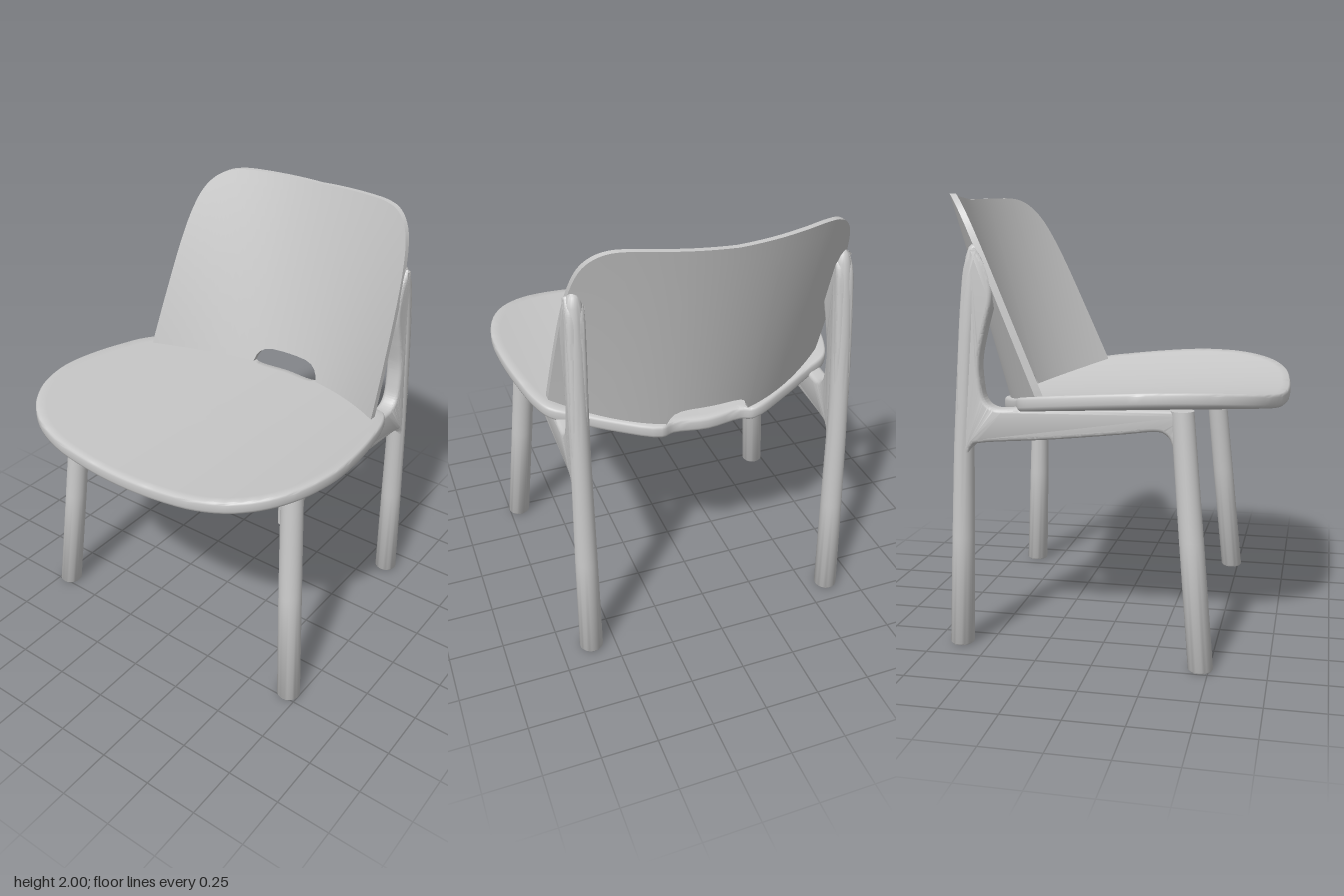
import * as THREE from 'three';
import { toCreasedNormals } from 'three/addons/utils/BufferGeometryUtils.js';

const paleGrey = new THREE.MeshStandardMaterial({ color: 0xc8c8c8 });
paleGrey.name = 'pale grey';

function part(name, geometry, crease = 0.6) {
  const mesh = new THREE.Mesh(toCreasedNormals(geometry, crease), paleGrey);
  mesh.name = name;
  return mesh;
}

// Skin a list of closed rings ([x, y, z] points) and cap both ends.
function loft(rings) {
  const n = rings[0].length, last = rings.length - 1;
  const pos = rings.flat(2), index = [];
  for (let j = 0; j < last; j++) {
    for (let i = 0; i < n; i++) {
      const k = (i + 1) % n;
      const a = j * n + i, b = j * n + k, c = a + n, d = b + n;
      index.push(a, b, d, a, d, c);
    }
  }
  for (const j of [0, last]) {
    const centre = pos.length / 3;
    for (let m = 0; m < 3; m++) pos.push(rings[j].reduce((s, p) => s + p[m], 0) / n);
    for (let i = 0; i < n; i++) {
      const a = j * n + i, b = j * n + (i + 1) % n;
      if (j === 0) index.push(centre, b, a);
      else index.push(centre, a, b);
    }
  }
  const g = new THREE.BufferGeometry();
  g.setAttribute('position', new THREE.Float32BufferAttribute(pos, 3));
  g.setIndex(index);
  return g;
}

// Seat: rounded outline, dished across and falling slightly to the rear.
const seatTop = (x, z) => 1.087 + 0.049 * z + 0.16 * x * x;

function seat() {
  const half = [
    [0, 0.785], [0.2, 0.778], [0.4, 0.755], [0.55, 0.7], [0.66, 0.61], [0.735, 0.49],
    [0.775, 0.35], [0.785, 0.24], [0.775, 0.08], [0.75, -0.08], [0.715, -0.23],
    [0.665, -0.325], [0.55, -0.38], [0.4, -0.455], [0.22, -0.532], [0.16, -0.512], [0, -0.528],
  ];
  const mirrored = half.slice(1, -1).reverse().map(([x, z]) => [-x, z]);
  const curve = new THREE.CatmullRomCurve3(
    [...half, ...mirrored].map(([x, z]) => new THREE.Vector3(x, 0, z)), true);
  const outline = curve.getPoints(128).slice(0, -1);
  const cz = 0.12, thick = 0.06;
  const ring = (s, depth) => outline.map((p) => {
    const x = p.x * s, z = cz + (p.z - cz) * s;
    return [x, seatTop(x, z) - depth, z];
  });
  const steps = [0.06, 0.25, 0.45, 0.65, 0.82, 0.94];
  return part('seat', loft([
    ...steps.map((s) => ring(s, thick)),
    ring(0.985, thick), ring(0.996, thick - 0.006), ring(1, thick - 0.016),
    ring(1, 0.014), ring(0.996, 0.005), ring(0.988, 0),
    ...steps.slice().reverse().map((s) => ring(s, 0)),
  ]), 0.8);
}

// Backrest: leaning shell, more tightly curved at the bottom than the top.
const bend = (y) => 0.7 - 0.28 * (y - 1.17);
const backZ = (x, y) => -0.785 + 0.263 * (1.99 - y) + bend(y) * x * x;

function backrest() {
  const slot = 0.195;
  const corner = new THREE.SplineCurve([
    [0.4, 2], [0.47, 1.99], [0.53, 1.955], [0.575, 1.89], [0.605, 1.78],
    [0.625, 1.62], [0.64, 1.4], [0.648, 1.25], [0.652, 1.165],
  ].map(([x, y]) => new THREE.Vector2(x, y))).getPoints(32).map((p) => [p.x, p.y]);
  const half = [0, 0.05, 0.1, 0.14, 0.165, 0.18, 0.19, 0.194, slot, 0.24, 0.28, 0.32, 0.36]
    .map((x) => [x, 1.985 + 0.015 * Math.min(1, x / 0.36)]).concat(corner);
  const columns = [...half.slice(1).reverse().map(([x, y]) => [-x, y]), ...half];
  // The lower edge meets the seat, with a rounded hand slot in the middle.
  const low = (x) => {
    const base = 1.02 + 0.25 * x * x;
    const t = Math.min(1, Math.abs(x) / slot);
    return base + (1.15 - base) * Math.sqrt(1 - t ** 6);
  };
  const rows = 14;
  return part('backrest', loft(columns.map(([x, high]) => {
    const outer = [], inner = [];
    for (let r = 0; r <= rows; r++) {
      const y = THREE.MathUtils.lerp(low(x), high, r / rows);
      const z = backZ(x, y);
      const thick = 0.027 * Math.hypot(1, 2 * bend(y) * x);
      outer.push([x, y, z]);
      inner.unshift([x, y, z + thick]);
    }
    return [...outer, ...inner];
  })));
}

// Legs: round sections given as [x, y, z, radius].
function leg(name, side, sections) {
  const n = 28;
  const g = loft(sections.map(([x, y, z, r]) => Array.from({ length: n }, (_, i) => {
    const a = (i / n) * Math.PI * 2;
    return [side * x + r * Math.sin(a), y, z + r * Math.cos(a)];
  })));
  return part(name, tuckBehindBack(g), 0.8);
}

// Keep upper frame surfaces from breaking through the face of the backrest.
function tuckBehindBack(g) {
  const p = g.attributes.position;
  for (let i = 0; i < p.count; i++) {
    const y = p.getY(i);
    if (y > 1.2) p.setZ(i, Math.min(p.getZ(i), backZ(p.getX(i), y) + 0.012));
  }
  return g;
}

// Side rail: one flowing profile joining front leg, rear leg and backrest.
function sideRail(side) {
  const v = (list) => list.map(([z, y]) => new THREE.Vector2(z, y));
  const s = new THREE.Shape();
  s.moveTo(0.41, 0.9);
  s.lineTo(0.41, 1.1);
  s.lineTo(-0.34, 1.09);
  s.splineThru(v([[-0.44, 1.085], [-0.49, 1.12], [-0.508, 1.2], [-0.51, 1.3], [-0.485, 1.42],
    [-0.455, 1.54], [-0.455, 1.62], [-0.485, 1.71], [-0.53, 1.77]]));
  s.splineThru(v([[-0.575, 1.7], [-0.595, 1.55], [-0.612, 1.3], [-0.62, 1.05], [-0.61, 0.86]]));
  s.lineTo(-0.57, 0.86);
  s.splineThru(v([[-0.555, 0.91], [-0.5, 0.932], [-0.2, 0.957], [0.1, 0.99], [0.25, 1.008],
    [0.3, 0.995], [0.325, 0.955], [0.335, 0.9]]));
  const g = new THREE.ExtrudeGeometry(s, {
    depth: 0.04, curveSegments: 40, bevelEnabled: true,
    bevelThickness: 0.02, bevelSize: 0.018, bevelOffset: -0.018, bevelSegments: 4,
  });
  g.translate(0, 0, -0.02);
  g.rotateY(-Math.PI / 2);
  const p = g.attributes.position;
  for (let i = 0; i < p.count; i++) {
    const lean = 0.03 * Math.max(0, p.getY(i) - 1.1);
    p.setX(i, p.getX(i) + side * (0.605 - lean));
  }
  return part('sideRail', tuckBehindBack(g), 0.7);
}

export function createModel() {
  const chair = new THREE.Group();
  chair.name = 'chair';
  chair.add(seat(), backrest());
  for (const side of [1, -1]) {
    const frame = new THREE.Group();
    frame.name = side > 0 ? 'leftFrame' : 'rightFrame';
    frame.add(
      leg('frontLeg', side, [
        [0.7, 0, 0.465, 0.048], [0.7, 0.008, 0.465, 0.054],
        [0.655, 0.55, 0.415, 0.053], [0.612, 1.1, 0.365, 0.05],
      ]),
      leg('rearLeg', side, [
        [0.61, 0, -0.63, 0.048], [0.61, 0.008, -0.63, 0.054], [0.608, 0.5, -0.613, 0.05],
        [0.605, 0.9, -0.6, 0.045], [0.603, 1.1, -0.588, 0.044], [0.6, 1.25, -0.578, 0.044],
        [0.597, 1.4, -0.568, 0.044], [0.592, 1.55, -0.556, 0.043], [0.588, 1.66, -0.546, 0.04],
        [0.586, 1.73, -0.54, 0.035], [0.585, 1.77, -0.536, 0.025], [0.585, 1.788, -0.533, 0.01],
      ]),
      sideRail(side),
    );
    chair.add(frame);
  }
  return chair;
}
